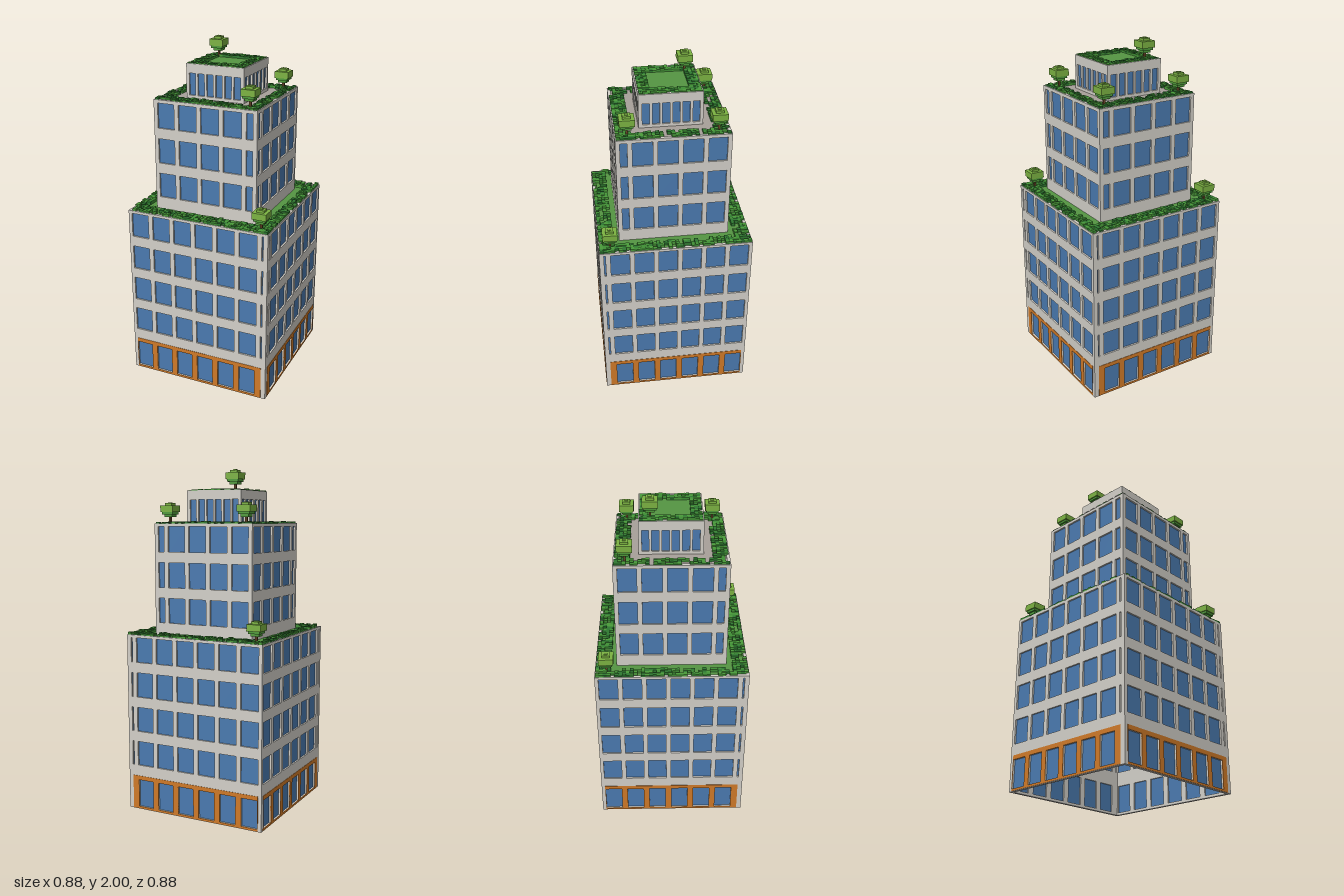
import * as THREE from 'three';
import { mergeGeometries } from 'three/addons/utils/BufferGeometryUtils.js';

const mat = (color, side = THREE.FrontSide) => {
  const m = new THREE.MeshStandardMaterial({ side });
  m.color.set(color);
  return m;
};
const WALL = mat(0xd3d0c9), ROOF = mat(0xa8a19a), GRASS = mat(0x559643);
const ORANGE = mat(0xd07a28), GLASS = mat(0x4a7ab0, THREE.DoubleSide);
const HEDGE = [mat(0x4a9c3a), mat(0x3f8f35), mat(0x2f7a31)];
const LEAF = mat(0x7cb342), LEAF_DARK = mat(0x4f9a3a), BARK = mat(0x6b4527);

let seed = 7;
const rand = () => (seed = (seed * 16807) % 2147483647) / 2147483647;

function mesh(name, geometry, material) {
  const m = new THREE.Mesh(geometry, material);
  m.name = name;
  return m;
}

function box(w, h, d, x, y, z) {
  return new THREE.BoxGeometry(w, h, d).translate(x, y, z);
}

// Upright panel with rectangular holes; rects are [x0, x1, y0, y1]
function panel([x0, x1, y0, y1], holes, depth, z) {
  const trace = (p, [a, b, c, d]) => p.moveTo(a, c).lineTo(b, c).lineTo(b, d).lineTo(a, d).closePath();
  const shape = trace(new THREE.Shape(), [x0, x1, y0, y1]);
  shape.holes = holes.map(r => trace(new THREE.Path(), r));
  return new THREE.ExtrudeGeometry(shape, { depth, bevelEnabled: false }).translate(0, 0, z - depth);
}

// One row of windows from the left, clipped at the corner post
function windowRow(start, pitch, width, min, max, y0, y1) {
  const row = [];
  for (let x = start; x < max - 0.005; x += pitch)
    row.push([Math.max(x, min), Math.min(x + width, max), y0, y1]);
  return row;
}

// Panels face +z; side faces keep the same order along z, front and back along x
function onFourSides(name, make, material) {
  const group = new THREE.Group();
  group.name = name;
  for (let i = 0; i < 4; i++) {
    const mirrored = i === 1 || i === 2;
    const m = mesh(name + 'Side', make(mirrored), material);
    m.rotation.y = i * Math.PI / 2;
    group.add(m);
  }
  return group;
}

const flip = (rects, yes) => yes ? rects.map(([a, b, c, d]) => [-b, -a, c, d]) : rects;

function tier(name, half, y0, y1, windows, roofY, roofMaterial) {
  const group = new THREE.Group();
  group.name = name;
  group.add(onFourSides('wall', f => panel([-half, half, y0, y1], flip(windows, f), 0.018, half), WALL));
  group.add(onFourSides('glass', f => mergeGeometries(flip(windows, f).map(([a, b, c, d]) =>
    new THREE.PlaneGeometry(b - a, d - c).translate((a + b) / 2, (c + d) / 2, half - 0.01))), GLASS));
  const w = 2 * half - 0.03;
  group.add(mesh('roof', box(w, 0.012, w, 0, roofY - 0.006, 0), roofMaterial));
  return group;
}

// Border of small leafy blocks on a grid around a roof
function hedge(half, bandX, bandZ, y, height, density) {
  const group = new THREE.Group();
  group.name = 'hedge';
  const parts = [[], [], []];
  const n = Math.round(2 * half / 0.0215), s = 2 * half / n;
  for (let i = 0; i < n; i++) for (let j = 0; j < n; j++) {
    const x = -half + (i + 0.5) * s, z = -half + (j + 0.5) * s;
    if (Math.abs(x) < half - bandX && Math.abs(z) < half - bandZ) continue;
    if (rand() > density) continue;
    const h = height * (0.6 + 0.4 * rand());
    const shade = Math.min(2, Math.floor(rand() * 3));
    parts[shade].push(box(s, h, s, x, y + h / 2, z));
  }
  parts.forEach((p, i) => group.add(mesh('hedgeBlocks', mergeGeometries(p), HEDGE[i])));
  return group;
}

// Blocky tree: trunk, stepped crown
function tree(x, y, z) {
  const group = new THREE.Group();
  group.name = 'tree';
  group.add(mesh('trunk', box(0.012, 0.06, 0.012, 0, 0.03, 0), BARK));
  group.add(mesh('lowerCrown', mergeGeometries([
    box(0.05, 0.016, 0.05, 0, 0.046, 0),
    box(0.07, 0.015, 0.07, 0, 0.0605, 0)]), LEAF_DARK));
  group.add(mesh('upperCrown', mergeGeometries([
    box(0.084, 0.038, 0.084, 0, 0.086, 0),
    box(0.044, 0.014, 0.044, 0, 0.112, 0),
    box(0.02, 0.004, 0.02, 0, 0.121, 0)]), LEAF));
  group.position.set(x, y, z);
  return group;
}

export function createModel() {
  const model = new THREE.Group();
  model.name = 'terracedTower';

  // Lower block with shop floor
  const shops = windowRow(-0.412, 0.136, 0.1, -0.412, 0.4, 0.015, 0.18);
  const lower = [...shops];
  for (let i = 0; i < 4; i++)
    lower.push(...windowRow(-0.415, 0.136, 0.108, -0.415, 0.41, 0.27 + i * 0.207, 0.415 + i * 0.207));
  model.add(tier('lowerBlock', 0.436, 0, 1.052, lower, 1.046, GRASS));
  model.add(onFourSides('shopFront', f =>
    panel(flip([[-0.415, 0.408, 0.003, 0.205]], f)[0], flip(shops, f), 0.004, 0.438), ORANGE));

  // Middle block
  const middle = [];
  for (let i = 0; i < 3; i++)
    middle.push(...windowRow(-0.297, 0.137, 0.11, -0.29, 0.29, 1.117 + i * 0.207, 1.262 + i * 0.207));
  model.add(tier('middleBlock', 0.314, 1.04, 1.695, middle, 1.688, ROOF));

  // Penthouse
  const top = windowRow(-0.16, 0.055, 0.04, -0.16, 0.165, 1.705, 1.83);
  model.add(tier('penthouse', 0.176, 1.68, 1.884, top, 1.876, GRASS));

  // Roof planting
  model.add(hedge(0.432, 0.06, 0.085, 1.044, 0.024, 0.75));
  model.add(hedge(0.308, 0.06, 0.083, 1.685, 0.022, 0.75));
  model.add(hedge(0.17, 0.064, 0.064, 1.873, 0.02, 0.95));
  for (const [x, y, z] of [
    [-0.37, 1.05, -0.37], [0.37, 1.05, 0.37],
    [-0.248, 1.692, -0.25], [0.246, 1.692, -0.25], [0.246, 1.692, 0.246],
    [-0.108, 1.877, -0.112]]) model.add(tree(x, y, z));

  return model;
}
